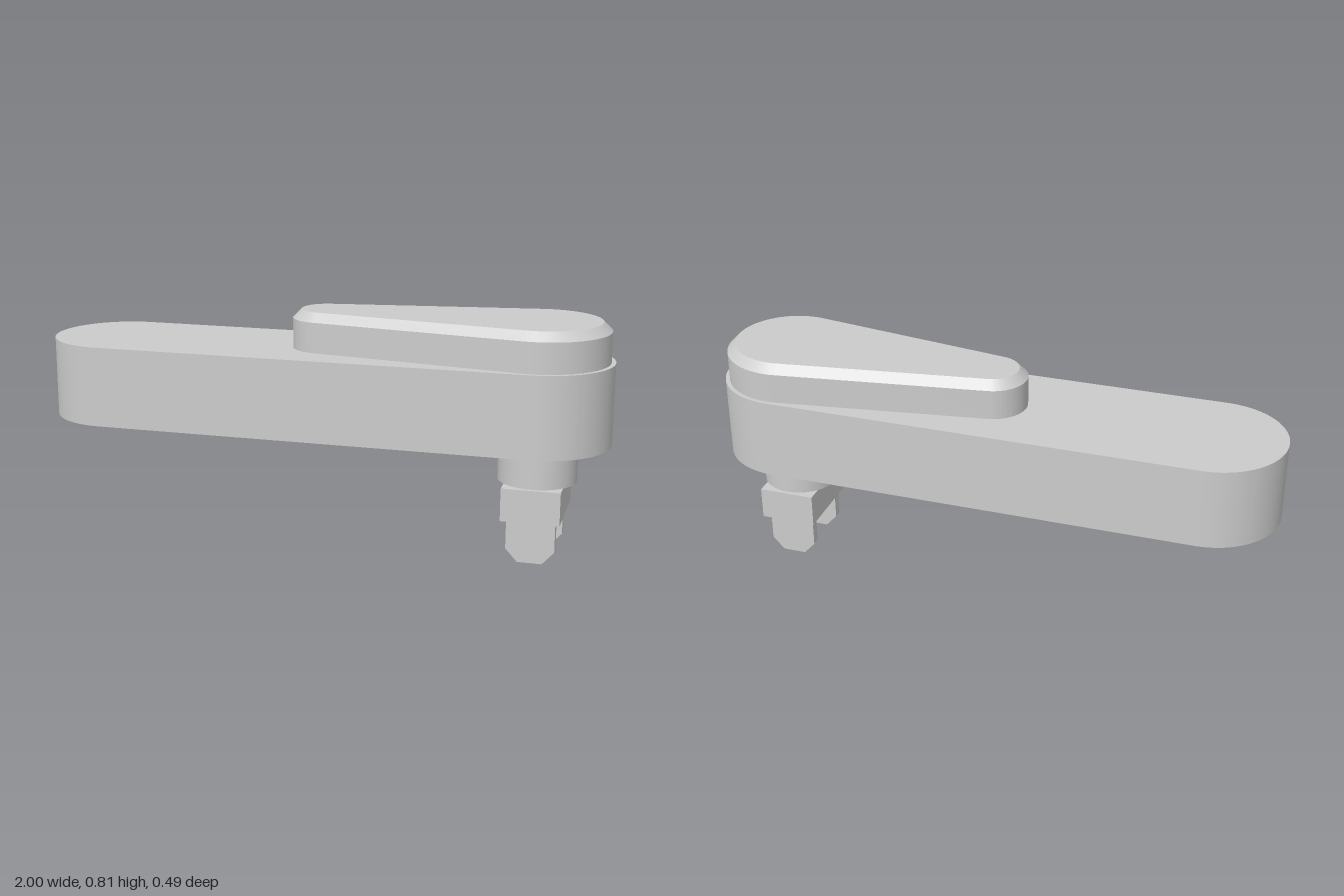
import * as THREE from 'three';
import { toCreasedNormals } from 'three/addons/utils/BufferGeometryUtils.js';

const PIVOT_X = 0.755; // axis shared by the body end, pointer and shaft

// Outline wrapped tightly around two circles lying on the x axis
function wrapCircles(x1, r1, x2, r2) {
  const a = Math.acos((r1 - r2) / (x2 - x1));
  const shape = new THREE.Shape();
  shape.absarc(x2, 0, r2, -a, a, false);
  shape.absarc(x1, 0, r1, a, 2 * Math.PI - a, false);
  shape.closePath();
  return shape;
}

// Extrude upwards from y0 to y1, keeping the rounded ends smooth
function slab(shape, y0, y1, chamfer = 0) {
  const geo = new THREE.ExtrudeGeometry(shape, {
    depth: y1 - y0 - 2 * chamfer,
    curveSegments: 32,
    bevelEnabled: chamfer > 0,
    bevelThickness: chamfer,
    bevelSize: chamfer,
    bevelOffset: -chamfer,
    bevelSegments: 1,
  });
  geo.rotateX(-Math.PI / 2);
  geo.translate(0, y0 + chamfer, 0);
  return toCreasedNormals(geo, 0.5);
}

export function createModel() {
  const model = new THREE.Group();
  model.name = 'leverSwitch';
  const material = new THREE.MeshStandardMaterial({ color: 0xcccccc });

  const add = (name, geometry, x = 0, y = 0, z = 0) => {
    const mesh = new THREE.Mesh(geometry, material);
    mesh.name = name;
    mesh.position.set(x, y, z);
    model.add(mesh);
  };

  // Long arm with round ends
  add('body', slab(wrapCircles(-PIVOT_X, 0.245, PIVOT_X, 0.245), 0.398, 0.68));

  // Tapered raised pointer; its lower chamfer is sunk inside the body
  add('pointer', slab(wrapCircles(0.012, 0.12, PIVOT_X, 0.23), 0.64, 0.815, 0.03));

  // Shaft and crossbar below the arm
  add('shaft', new THREE.CylinderGeometry(0.135, 0.135, 0.135, 48), PIVOT_X, 0.3325, 0);
  add('crossbar', new THREE.BoxGeometry(0.2, 0.115, 0.296), PIVOT_X, 0.2075, 0);

  // Two flat prongs with chamfered tips
  const prong = new THREE.Shape([
    [-0.083, 0.15], [-0.083, 0.045], [-0.042, 0],
    [0.042, 0], [0.083, 0.045], [0.083, 0.15],
  ].map(([x, y]) => new THREE.Vector2(x, y)));
  const prongGeo = new THREE.ExtrudeGeometry(prong, { depth: 0.031, bevelEnabled: false });
  prongGeo.translate(0, 0, -0.0155);
  add('frontProng', prongGeo, PIVOT_X, 0, 0.102);
  add('backProng', prongGeo, PIVOT_X, 0, -0.102);

  return model;
}
